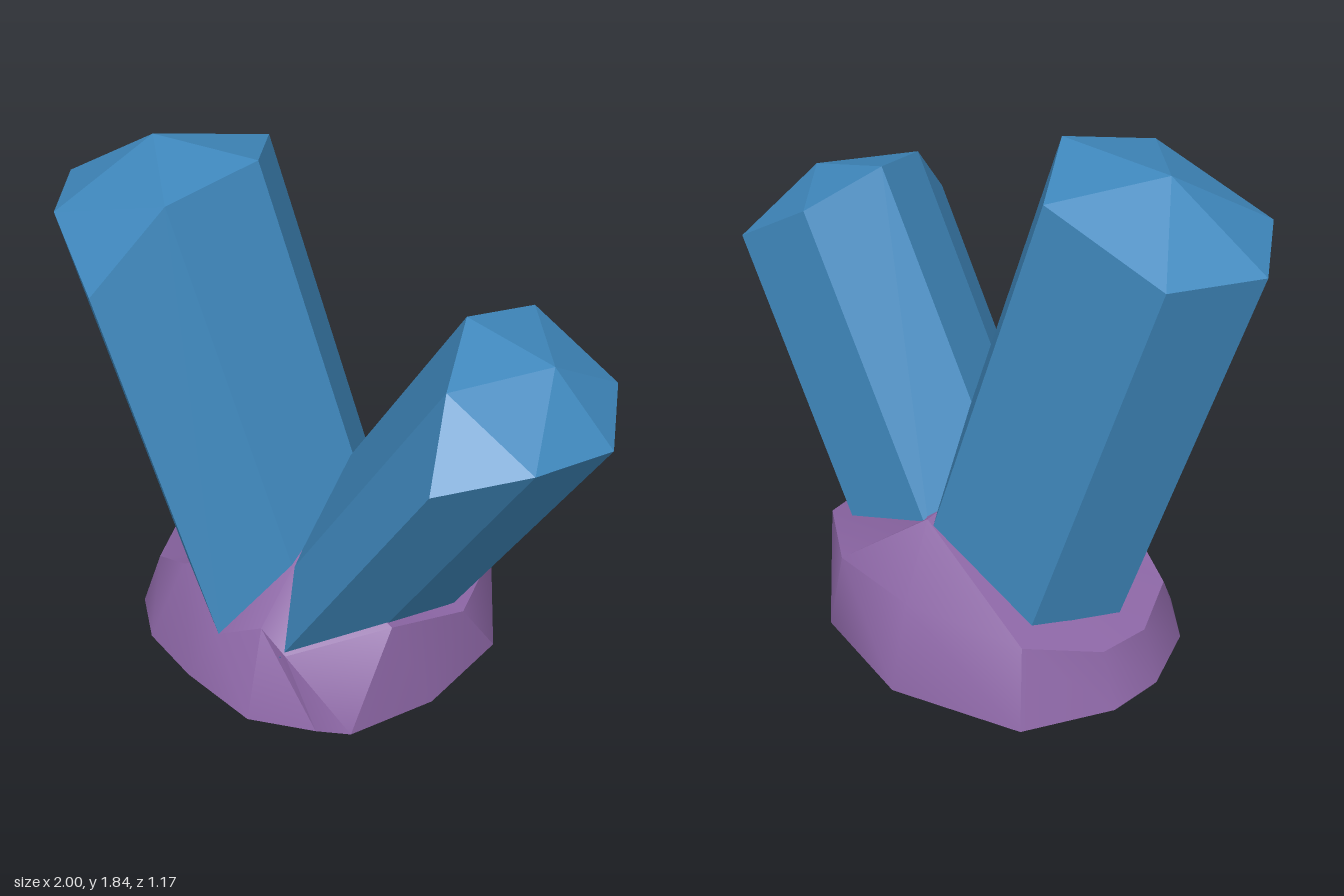
import * as THREE from 'three';
import { toCreasedNormals } from 'three/addons/utils/BufferGeometryUtils.js';

// Builds a non-indexed geometry from a list of [a, b, c] corner triples.
function fromTriangles(tris) {
  const g = new THREE.BufferGeometry();
  g.setAttribute('position', new THREE.Float32BufferAttribute(tris.flat(2), 3));
  g.computeVertexNormals();
  return g;
}

// Seven-sided leaning crystal: rim runs left, front, right, back;
// feet holds the height where each side edge sinks into the rock.
function crystal(name, rim, apex, lean, feet, material) {
  const n = rim.length;
  const foot = rim.map(([x, y, z], i) => {
    const drop = y - feet[i] + 0.04;
    return [x - lean[0] * drop, y - drop, z - lean[1] * drop];
  });
  const tris = [];
  for (let i = 0; i < n; i++) {
    const j = (i + 1) % n;
    tris.push([foot[i], foot[j], rim[j]], [foot[i], rim[j], rim[i]]);
  }
  // pointed cap over six corners, plus a steep facet over the low front corner (index 2)
  const top = rim.filter((_, i) => i !== 2);
  top.forEach((p, i) => tris.push([apex, p, top[(i + 1) % top.length]]));
  tris.push([rim[1], rim[2], rim[3]]);
  const mesh = new THREE.Mesh(fromTriangles(tris), material);
  mesh.name = name;
  return mesh;
}

// Hollow rock: ground ring, shoulder ring and a short ridge between the crystals.
function rock(material) {
  const base = [
    [-0.77, 0, 0], [-0.7, 0, 0.25], [-0.56, 0, 0.4], [-0.33, 0, 0.5], [-0.03, 0, 0.58],
    [0.2, 0, 0.51], [0.32, 0.02, 0.48], [0.47, 0.01, 0.19], [0.52, 0.02, -0.17],
    [0.3, 0, -0.46], [-0.1, 0, -0.59], [-0.56, 0, -0.48], [-0.74, 0, -0.2],
  ];
  const shoulder = [
    [-0.71, 0.2, 0], [-0.63, 0.22, 0.23], [-0.47, 0.3, 0.3], [-0.22, 0.22, 0.48], [-0.05, 0.3, 0.45],
    [0.07, 0.26, 0.49], [0.37, 0.38, 0.3], [0.48, 0.28, 0], [0.44, 0.32, -0.28],
    [0.25, 0.3, -0.44], [-0.08, 0.3, -0.49], [-0.5, 0.27, -0.4], [-0.67, 0.2, -0.18],
  ];
  const ridge = shoulder.map((p) => [-0.02, 0.51, THREE.MathUtils.clamp(p[2], -0.3, 0.22)]);
  const tris = [];
  const n = base.length;
  for (let i = 0; i < n; i++) {
    const j = (i + 1) % n;
    tris.push([base[i], base[j], shoulder[i]], [base[j], shoulder[j], shoulder[i]]);
    tris.push([shoulder[i], shoulder[j], ridge[i]]);
    if (ridge[i][2] !== ridge[j][2]) tris.push([shoulder[j], ridge[j], ridge[i]]);
  }
  const mesh = new THREE.Mesh(toCreasedNormals(fromTriangles(tris), 0.65), material);
  mesh.name = 'rockBase';
  return mesh;
}

export function createModel() {
  const group = new THREE.Group();
  group.name = 'crystalCluster';
  const blue = new THREE.MeshStandardMaterial({ color: 0x3f88bd, flatShading: true, side: THREE.DoubleSide });
  const purple = new THREE.MeshStandardMaterial({ color: 0x8c66a5, side: THREE.DoubleSide });

  // tall crystal leaning to the right side of the model
  group.add(crystal('tallCrystal', [
    [-1, 1.61, 0.09], [-0.84, 1.63, 0.38], [-0.56, 1.5, 0.58], [-0.4, 1.77, 0.38],
    [-0.25, 1.84, 0.09], [-0.4, 1.77, -0.2], [-0.84, 1.63, -0.2],
  ], [-0.65, 1.83, 0.09], [-0.277, 0.08], [0.27, 0.3, 0.22, 0.47, 0.5, 0.48, 0.3], blue));

  // short crystal leaning to the left side of the model
  group.add(crystal('shortCrystal', [
    [0.49, 1.51, 0.09], [0.58, 1.43, 0.38], [0.64, 1.2, 0.58], [0.88, 1.24, 0.38],
    [1, 1.2, 0.09], [0.88, 1.24, -0.2], [0.58, 1.43, -0.2],
  ], [0.79, 1.43, 0.09], [0.62, 0.105], [0.5, 0.48, 0.27, 0.3, 0.31, 0.32, 0.48], blue));

  group.add(rock(purple));
  return group;
}
